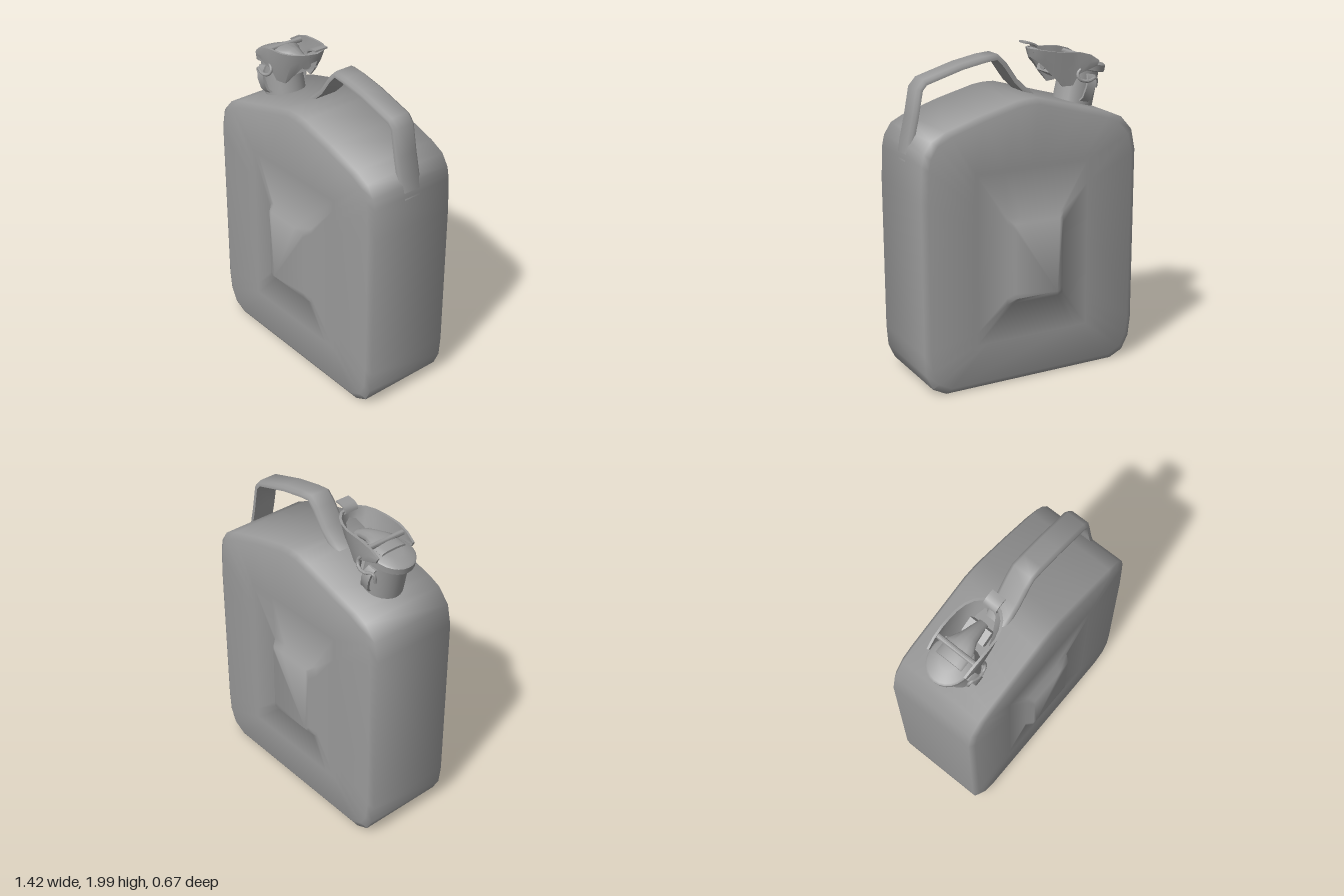
import * as THREE from 'three';
import { toCreasedNormals } from 'three/addons/utils/BufferGeometryUtils.js';

const material = new THREE.MeshStandardMaterial({ color: 0x999999 });

function add(parent, name, geometry, crease = 0.8) {
  const mesh = new THREE.Mesh(toCreasedNormals(geometry, crease), material);
  mesh.name = name;
  parent.add(mesh);
  return mesh;
}

// Skin over equal-length rings of [x, y, z], capped at both ends and wound outwards.
function loft(rings) {
  const n = rings[0].length, last = (rings.length - 1) * n, index = [];
  for (let i = 0; i < rings.length - 1; i++) {
    for (let j = 0; j < n; j++) {
      const a = i * n + j, b = i * n + (j + 1) % n;
      index.push(a, b, a + n, b, b + n, a + n);
    }
  }
  for (let j = 1; j < n - 1; j++) index.push(0, j + 1, j, last, last + j, last + j + 1);
  const p = rings.flat().map((v) => new THREE.Vector3(...v));
  let volume = 0;
  for (let i = 0; i < index.length; i += 3) {
    volume += p[index[i]].dot(p[index[i + 1]].clone().cross(p[index[i + 2]]));
  }
  if (volume < 0) index.reverse();
  const g = new THREE.BufferGeometry();
  g.setAttribute('position', new THREE.Float32BufferAttribute(rings.flat(2), 3));
  g.setIndex(index);
  return g;
}

// Strap following a path in the xy plane; section lists [offset along normal, z].
function strap(path, section) {
  return loft(path.map((p, i) => {
    const a = path[Math.max(i - 1, 0)], b = path[Math.min(i + 1, path.length - 1)];
    const dx = b[0] - a[0], dy = b[1] - a[1], l = Math.hypot(dx, dy);
    return section.map(([o, z]) => [p[0] - (dy / l) * o, p[1] + (dx / l) * o, z]);
  }));
}

// Can outline: rounded corners with a sloped shoulder on each side
const outline = [
  [-0.57, 0.005], [0.57, 0.005], [0.655, 0.05], [0.695, 0.14], [0.705, 0.27], [0.708, 1.2],
  [0.7, 1.4], [0.685, 1.47], [0.64, 1.54], [0.55, 1.585], [0.33, 1.655], [0.1, 1.715],
  [0.03, 1.723], [-0.04, 1.722], [-0.12, 1.7], [-0.35, 1.635], [-0.53, 1.585], [-0.61, 1.55],
  [-0.685, 1.465], [-0.712, 1.34], [-0.714, 0.25], [-0.7, 0.13], [-0.655, 0.045],
];

// The outline's points moved onto a rectangle, those near a diagonal snapping to its corners
const onRect = (cx, cy, hw, hh, z) => outline.map(([x, y]) => {
  const u = x / 0.71, v = (y - 0.86) / 0.86, m = Math.max(Math.abs(u), Math.abs(v));
  const corner = Math.min(Math.abs(u), Math.abs(v)) / m > 0.9;
  return [cx + hw * (corner ? Math.sign(u) : u / m), cy + hh * (corner ? Math.sign(v) : v / m), z];
});

export function createModel() {
  const model = new THREE.Group();
  model.name = 'fuelCan';

  // Body with a raised panel on both broad faces, shaded as one smooth skin
  const frontRings = [
    onRect(-0.02, 0.77, 0.16, 0.23, 0.337),
    onRect(-0.02, 0.765, 0.19, 0.265, 0.298),
    onRect(0, 0.8, 0.37, 0.52, 0.299),
    outline.map(([x, y]) => [x * 0.95, 0.86 + (y - 0.86) * 0.96, 0.3]),
    outline.map(([x, y]) => [x, y, 0.278]),
  ];
  const backRings = frontRings.map((ring) => ring.map(([x, y, z]) => [x, y, -z])).reverse();
  add(model, 'body', loft([...frontRings, ...backRings]), 1.2);

  // Carrying handle
  const w = 0.075;
  add(model, 'handle', strap([
    [-0.13, 1.68], [-0.07, 1.728], [-0.01, 1.785], [0.06, 1.885], [0.11, 1.935], [0.19, 1.927],
    [0.34, 1.898], [0.57, 1.83], [0.605, 1.79], [0.635, 1.63], [0.665, 1.5], [0.685, 1.38],
  ], [[-0.016, -w], [0.004, -w], [0.017, -w * 0.75], [0.017, w * 0.75], [0.004, w], [-0.016, w]]), 1.1);

  // Tilted neck and cap, as one lathe profile each
  const spout = new THREE.Group();
  spout.name = 'spout';
  spout.position.set(-0.43, 1.58, 0);
  spout.rotation.z = 0.22;
  model.add(spout);
  const lathe = (pts) => new THREE.LatheGeometry(pts.map((p) => new THREE.Vector2(...p)), 24);
  add(spout, 'neck', lathe([[0, -0.06], [0.13, -0.06], [0.122, 0.02], [0.12, 0.25], [0, 0.25]]));
  const cap = add(spout, 'cap', lathe([
    [0, 0.235], [0.132, 0.235], [0.142, 0.24], [0.142, 0.278], [0.13, 0.288], [0.06, 0.298], [0, 0.3],
  ]));
  cap.position.x = -0.018;
  cap.scale.z = 0.9;

  // Latch scoop: a tapering wall bent round the cap, open to the cap side
  // Each entry: top x, top y, z, then bottom x, bottom y, z
  const half = [
    [-0.54, 1.872, 0.135, -0.525, 1.84, 0.135], [-0.48, 1.91, 0.141, -0.46, 1.82, 0.139],
    [-0.41, 1.93, 0.145, -0.4, 1.8, 0.135], [-0.35, 1.935, 0.145, -0.37, 1.73, 0.115],
    [-0.29, 1.938, 0.142, -0.31, 1.728, 0.1], [-0.23, 1.945, 0.127, -0.25, 1.79, 0.085],
    [-0.18, 1.952, 0.1, -0.2, 1.85, 0.065], [-0.143, 1.957, 0.06, -0.155, 1.89, 0.042],
    [-0.128, 1.955, 0, -0.138, 1.905, 0],
  ];
  const wall = [...half, ...half.slice(0, -1).reverse().map((r) => r.map((v, k) => (k % 3 === 2 ? -v : v)))];
  const inset = (x, y, z) => [x - Math.max(0, 0.1 * (x + 0.3)), y, z * 0.9];
  add(model, 'latchScoop', loft(wall.map(([x, y, z, bx, by, bz]) => {
    const mid = [(x + bx) / 2, (y + by) / 2, (z + bz) / 2 * 1.04];
    return [[x, y, z], mid, [bx, by, bz], inset(bx, by, bz), inset(...mid), inset(x, y, z)];
  })), 1);

  // Tongue and bracket between the cap and the scoop
  const oval = (x, y, ry, rz) => Array.from({ length: 12 }, (_, i) => {
    const a = (i / 12) * Math.PI * 2;
    return [x, y + Math.cos(a) * ry, Math.sin(a) * rz];
  });
  add(model, 'tongue', loft([
    oval(-0.52, 1.865, 0.015, 0.09), oval(-0.42, 1.88, 0.03, 0.088), oval(-0.35, 1.875, 0.035, 0.055),
    oval(-0.28, 1.86, 0.03, 0.04), oval(-0.225, 1.84, 0.02, 0.03),
  ]), 1);
  const bracket = add(model, 'bracket', new THREE.BoxGeometry(0.09, 0.05, 0.15));
  bracket.position.set(-0.275, 1.815, 0);
  bracket.rotation.z = 0.5;

  // Pin across the latch
  const pin = add(model, 'hingePin', new THREE.CylinderGeometry(0.016, 0.016, 0.28, 12));
  pin.rotation.x = Math.PI / 2;
  pin.position.set(-0.45, 1.895, 0);

  // Side clips: a hanging strip and a curved hook on each side
  for (const s of [1, -1]) {
    const strip = [[-0.49, 1.79, 0.13], [-0.48, 1.765, 0.155], [-0.468, 1.72, 0.163], [-0.45, 1.655, 0.152], [-0.44, 1.63, 0.13]];
    add(model, s > 0 ? 'frontClip' : 'backClip', loft(strip.map(([x, y, z]) => [
      [x - 0.028, y - 0.006, s * z], [x + 0.028, y + 0.006, s * z],
      [x + 0.028, y + 0.006, s * (z - 0.016)], [x - 0.028, y - 0.006, s * (z - 0.016)],
    ])));
    const hook = new THREE.CatmullRomCurve3([
      [-0.52, 1.71, 0.13], [-0.515, 1.765, 0.142], [-0.45, 1.757, 0.158], [-0.4, 1.77, 0.15], [-0.388, 1.8, 0.14], [-0.41, 1.83, 0.135],
    ].map(([x, y, z]) => new THREE.Vector3(x, y, s * z)));
    add(model, s > 0 ? 'frontHook' : 'backHook', new THREE.TubeGeometry(hook, 20, 0.01, 8));
  }

  // Curled thumb tab at the tip of the scoop
  add(model, 'thumbTab', strap([
    [-0.145, 1.935], [-0.172, 1.955], [-0.168, 1.972], [-0.15, 1.985], [-0.12, 1.993], [-0.092, 1.995],
  ], [[-0.005, -0.045], [0.005, -0.045], [0.005, 0.045], [-0.005, 0.045]]), 1);

  return model;
}
